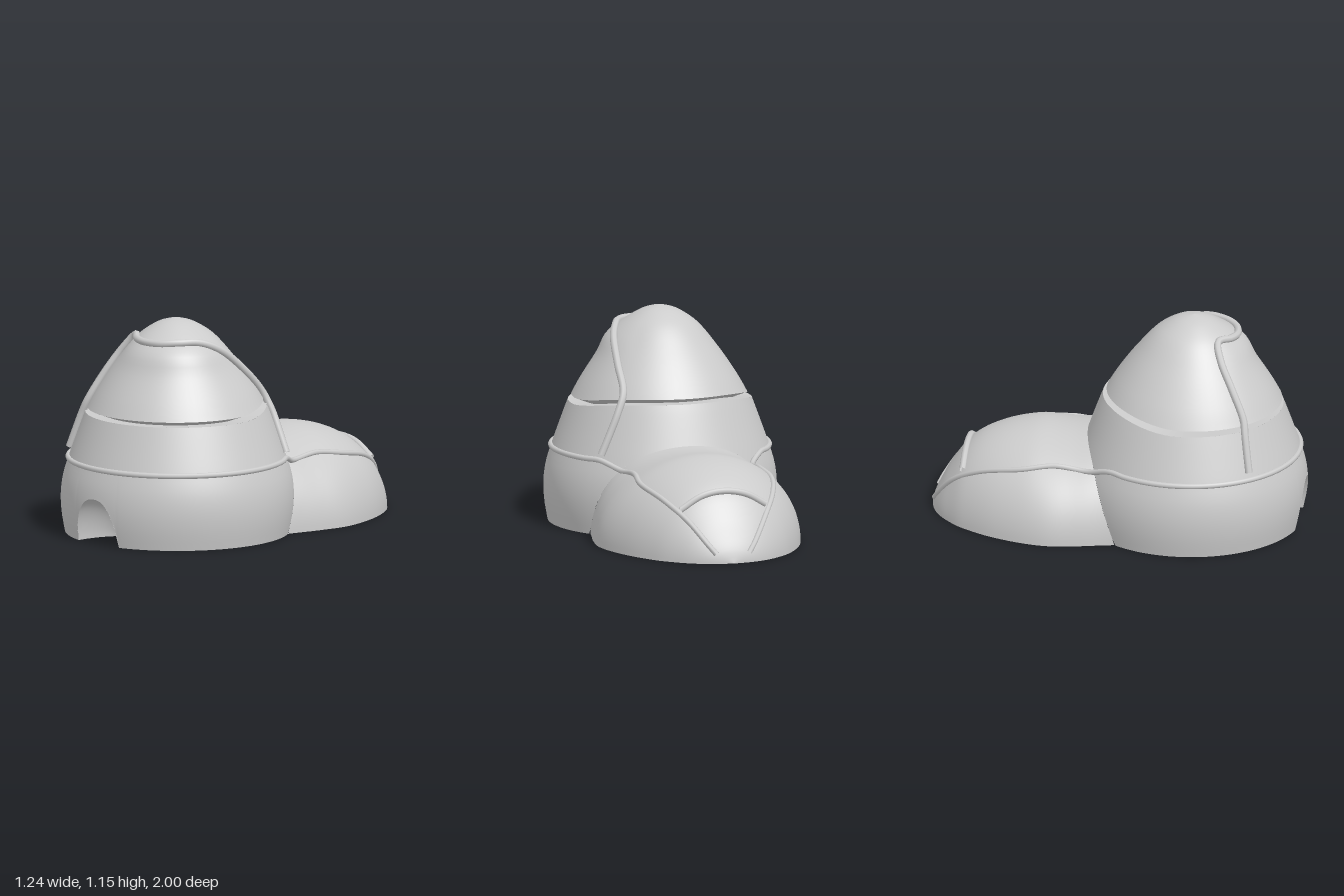
import * as THREE from 'three';
import { mergeVertices } from 'three/addons/utils/BufferGeometryUtils.js';
import { ParametricGeometry } from 'three/addons/geometries/ParametricGeometry.js';

const material = new THREE.MeshStandardMaterial({ color: 0xcccccc, roughness: 0.9, side: THREE.DoubleSide });
const DEG = Math.PI / 180;
const DOME_Z = 0.385, CAP_Z = 0.4;

// Smooth lookup through [t, value] pairs (cubic Hermite)
function profile(points) {
  const n = points.length;
  const slope = (i) => {
    const a = points[Math.max(i - 1, 0)], b = points[Math.min(i + 1, n - 1)];
    return (b[1] - a[1]) / (b[0] - a[0]);
  };
  return (t) => {
    let i = 0;
    while (i < n - 2 && t > points[i + 1][0]) i++;
    const [t0, p0] = points[i], [t1, p1] = points[i + 1], d = t1 - t0;
    const s = THREE.MathUtils.clamp((t - t0) / d, 0, 1), s2 = s * s, s3 = s2 * s;
    return Math.max(0, (2 * s3 - 3 * s2 + 1) * p0 + (s3 - 2 * s2 + s) * d * slope(i)
      + (3 * s2 - 2 * s3) * p1 + (s3 - s2) * d * slope(i + 1));
  };
}

const domeRadius = profile([[0, 0.598], [0.1, 0.615], [0.2, 0.62], [0.3, 0.608], [0.4, 0.578], [0.5, 0.543], [0.645, 0.49], [0.72, 0.46]]);
const capRadius = profile([[0.67, 0.468], [0.75, 0.425], [0.86, 0.355], [0.95, 0.29], [1.02, 0.235], [1.07, 0.185], [1.12, 0.11], [1.14, 0.06], [1.152, 0]]);
const tailWidth = profile([[-1, 0], [-0.985, 0.1], [-0.95, 0.19], [-0.9, 0.265], [-0.8, 0.365], [-0.6, 0.48], [-0.35, 0.55], [-0.15, 0.53], [0, 0.495], [0.1, 0.48]]);
const tailHeight = profile([[-1, 0], [-0.985, 0.06], [-0.95, 0.135], [-0.9, 0.225], [-0.8, 0.355], [-0.65, 0.44], [-0.45, 0.485], [-0.3, 0.478], [-0.2, 0.48], [0, 0.51], [0.1, 0.51]]);

// The upper rim rises a little toward the back
const lift = (a) => 0.05 * THREE.MathUtils.smoothstep(-Math.cos(a), 0, 1);

const domePoint = (a, y, out = 0) => {
  const r = domeRadius(y) + out;
  return new THREE.Vector3(r * Math.sin(a), y, DOME_Z + r * Math.cos(a));
};
const capPoint = (a, y, out = 0) => {
  // front-left panel is a little fuller under its seam
  const bulge = 0.03 * Math.exp(-(((y - 0.99) / 0.07) ** 2)) * Math.max(0, Math.cos(a - 0.8));
  const r = capRadius(y - lift(a) * (1.152 - y) / 0.482) + bulge + out;
  return new THREE.Vector3(r * Math.sin(a), y, CAP_Z + r * Math.cos(a));
};
const tailTop = (x, z) => {
  const w = tailWidth(z);
  return Math.abs(x) < w ? tailHeight(z) * Math.sqrt(1 - (x / w) ** 2) : 0;
};

const DOOR_W = 0.155, DOOR_H = 0.245;
const doorTop = (x) => Math.abs(x) < DOOR_W ? DOOR_H * (1 - (Math.abs(x) / DOOR_W) ** 2.4) ** 0.55 : 0;

// Lower edge of the dome wall: door arch in front, opening to the tail at the back
function wallStart(a) {
  if (Math.cos(a) > 0) return doorTop(domeRadius(0.15) * Math.sin(a));
  let y = 0.4;
  for (let i = 0; i < 8; i++) {
    const p = domePoint(a, y);
    y = (y + tailTop(p.x, p.z)) / 2;
  }
  return y < 0.03 ? 0 : y;
}

function surface(name, nu, nv, fn) {
  let g = new ParametricGeometry((u, v, target) => target.copy(fn(u, v)), nu, nv);
  g.deleteAttribute('uv');
  g.deleteAttribute('normal');
  g = mergeVertices(g, 1e-4);
  g.computeVertexNormals();
  const mesh = new THREE.Mesh(g, material);
  mesh.name = name;
  return mesh;
}

function piping(name, points, radius) {
  const curve = new THREE.CatmullRomCurve3(points, false, 'centripetal');
  const mesh = new THREE.Mesh(new THREE.TubeGeometry(curve, points.length * 6, radius, 8), material);
  mesh.name = name;
  return mesh;
}

export function createModel() {
  const model = new THREE.Group();
  model.name = 'domeTent';
  const turn = (u) => (u * 2 - 1) * Math.PI;

  // Lower dome wall
  model.add(surface('lowerDome', 240, 16, (u, v) => {
    const a = turn(u), y0 = wallStart(a);
    return domePoint(a, y0 + (0.645 + lift(a) - y0) * v);
  }));

  // Ledge closing the wall top, and the underside of the roof's lip
  model.add(surface('wallLedge', 72, 1, (u, v) => {
    const a = turn(u), y = 0.645 + lift(a), p = domePoint(a, y);
    const inner = new THREE.Vector3(0.39 * Math.sin(a), y - 0.004, CAP_Z + 0.39 * Math.cos(a));
    return p.lerp(inner, v);
  }));
  model.add(surface('roofLip', 72, 1, (u, v) => {
    const a = turn(u);
    const inner = new THREE.Vector3(0.39 * Math.sin(a), 0.641 + lift(a), CAP_Z + 0.39 * Math.cos(a));
    return inner.lerp(capPoint(a, 0.67 + lift(a)), v);
  }));

  // Rounded conical roof
  model.add(surface('roof', 72, 24, (u, v) => {
    const a = turn(u), base = 0.67 + lift(a);
    return capPoint(a, base + (1.152 - base) * Math.sin(v * Math.PI / 2));
  }));

  // Tail chamber, starting on the dome wall
  model.add(surface('tailChamber', 48, 36, (u, v) => {
    const a = u * Math.PI;
    const at = (z) => new THREE.Vector3(-tailWidth(z) * Math.cos(a), tailHeight(z) * Math.sin(a), z);
    let z0 = -0.1;
    for (let i = 0; i < 10; i++) {
      const p = at(z0), r = domeRadius(p.y);
      z0 = (z0 + DOME_Z - Math.sqrt(Math.max(0, r * r - p.x * p.x))) / 2;
    }
    return at(THREE.MathUtils.lerp(z0, -1, Math.sin(v * Math.PI / 2)));
  }));

  // Hooded recess behind the door arch
  model.add(surface('doorRecess', 32, 12, (u, v) => {
    const a = u * Math.PI, s = Math.cos(v * Math.PI / 2);
    const x = DOOR_W * Math.cos(a), y = doorTop(x), r = domeRadius(y);
    const z = DOME_Z + Math.sqrt(r * r - x * x);
    return new THREE.Vector3(x * s, y * s, z - 0.28 * Math.sin(v * Math.PI / 2));
  }));

  // Long seam: along the tail, around the dome, back along the tail
  const tailSeam = (side) => [[0.36, -0.12], [0.345, -0.3], [0.36, -0.48], [0.3, -0.7], [0.21, -0.86], [0.13, -0.95], [0.09, -0.98]]
    .map(([x, z]) => new THREE.Vector3(side * x, tailTop(x, z) + 0.003, z));
  const ring = [];
  for (let d = -130; d <= 130; d += 10) ring.push(domePoint(d * DEG, 0.4, 0.002));
  model.add(piping('wallSeam', [...tailSeam(-1).reverse(), ...ring, ...tailSeam(1)], 0.015));

  // Cross seam over the tail
  const cross = [-0.23, -0.12, 0, 0.12, 0.24].map((x) => new THREE.Vector3(x, tailTop(x, -0.81) + 0.012, -0.81));
  model.add(piping('tailCrossSeam', cross, 0.018));

  // Roof seam: up one side, across the front, down the other side
  const roofSeam = [
    ...[[-50, 0.44], [-49, 0.55], [-48, 0.63]].map(([d, y]) => domePoint(d * DEG, y, 0.012)),
    ...[[-48, 0.7], [-50, 0.85], [-52, 0.98], [-45, 1.06], [-20, 1.055], [0, 1.05], [25, 1.05], [50, 1.055], [80, 1.05], [105, 1.0],
      [127, 0.88], [139, 0.75]].map(([d, y]) => capPoint(d * DEG, y, 0.015)),
    ...[[137, 0.65], [134, 0.54], [131, 0.43]].map(([d, y]) => domePoint(d * DEG, y, 0.012)),
  ];
  model.add(piping('roofSeam', roofSeam, 0.02));

  return model;
}
